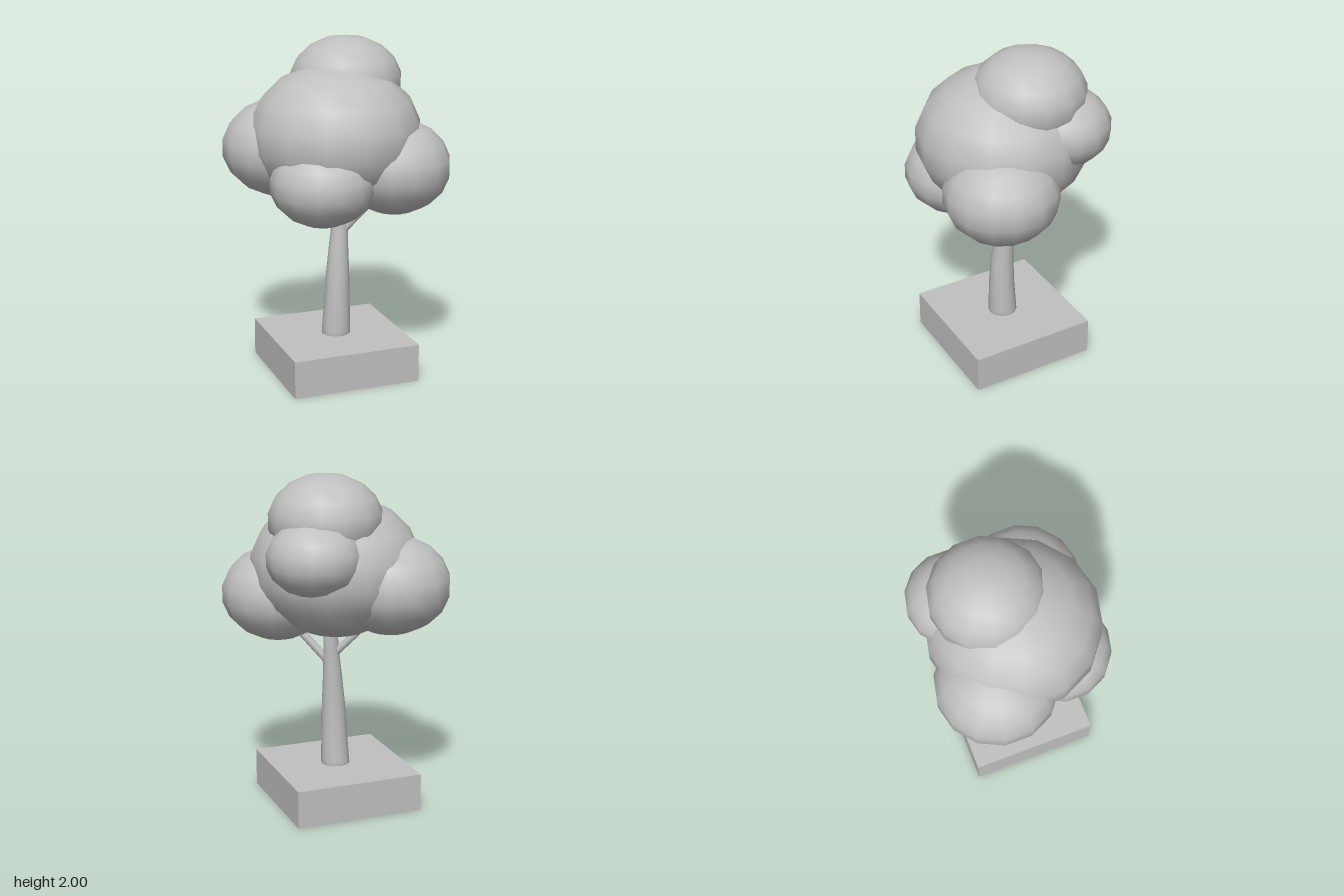
import * as THREE from 'three';
import { mergeVertices } from 'three/addons/utils/BufferGeometryUtils.js';

const clay = new THREE.MeshStandardMaterial({ color: 0xc0c0c0, side: THREE.DoubleSide });
clay.name = 'clay grey';

function addPart(group, name, geometry) {
  const mesh = new THREE.Mesh(geometry, clay);
  mesh.name = name;
  group.add(mesh);
  return mesh;
}

// Round limb: each ring is [x, y, z, radius], from bottom to top.
function limbGeometry(rings, sides) {
  const profile = rings.map(([, y, , r]) => new THREE.Vector2(r, y));
  let geo = new THREE.LatheGeometry(profile, sides);
  const pos = geo.attributes.position;
  for (let i = 0; i < pos.count; i++) {
    const [x, , z] = rings[i % rings.length];
    pos.setX(i, pos.getX(i) + x);
    pos.setZ(i, pos.getZ(i) + z);
  }
  geo.deleteAttribute('uv');
  geo.deleteAttribute('normal');
  geo = mergeVertices(geo, 1e-4);
  geo.computeVertexNormals();
  return geo;
}

export function createModel() {
  const tree = new THREE.Group();
  tree.name = 'tree';

  // Planter block, hollow and open underneath
  const box = new THREE.BoxGeometry(0.77, 0.225, 0.77);
  const faces = Array.from(box.index.array);
  faces.splice(18, 6);
  box.setIndex(faces);
  box.clearGroups();
  addPart(tree, 'planter', box).position.set(-0.015, 0.1125, 0.015);

  // Leaning, tapered trunk with a pointed root
  addPart(tree, 'trunk', limbGeometry([
    [-0.01, 0.10, 0.018, 0],
    [-0.01, 0.17, 0.018, 0.088],
    [-0.008, 0.25, 0.02, 0.086],
    [-0.004, 0.43, 0.027, 0.077],
    [0.0, 0.6, 0.027, 0.07],
    [0.01, 0.78, 0.017, 0.057],
    [0.022, 0.95, 0.01, 0.046],
    [0.03, 1.1, 0.0, 0.042],
    [0.035, 1.2, -0.01, 0],
  ], 12));

  // Two branches forking into the crown
  const branches = [
    ['leftBranch', [0.04, 0.87, 0.03], [0.24, 1.12, 0.14]],
    ['rightBranch', [0.01, 0.91, 0.0], [-0.15, 1.1, -0.1]],
  ];
  for (const [name, from, to] of branches) {
    const path = new THREE.LineCurve3(new THREE.Vector3(...from), new THREE.Vector3(...to));
    addPart(tree, name, new THREE.TubeGeometry(path, 1, 0.023, 8));
  }

  // Foliage: flattened spheres, [name, x, y, z, width radius, height radius]
  const foliage = [
    ['mainFoliage', -0.01, 1.445, 0.015, 0.506, 0.415],
    ['topFoliage', 0.095, 1.735, -0.095, 0.333, 0.265],
    ['frontLeftFoliage', 0.285, 1.27, 0.19, 0.335, 0.28],
    ['frontRightFoliage', -0.168, 1.21, 0.235, 0.305, 0.245],
    ['backRightFoliage', -0.27, 1.35, -0.185, 0.355, 0.29],
    ['backLeftFoliage', 0.215, 1.55, -0.245, 0.28, 0.225],
  ];
  const ball = new THREE.SphereGeometry(1, 14, 9).rotateY(Math.PI / 2);
  for (const [name, x, y, z, r, h] of foliage) {
    const clump = addPart(tree, name, ball);
    clump.position.set(x, y, z);
    clump.scale.set(r, h, r);
  }
  return tree;
}
